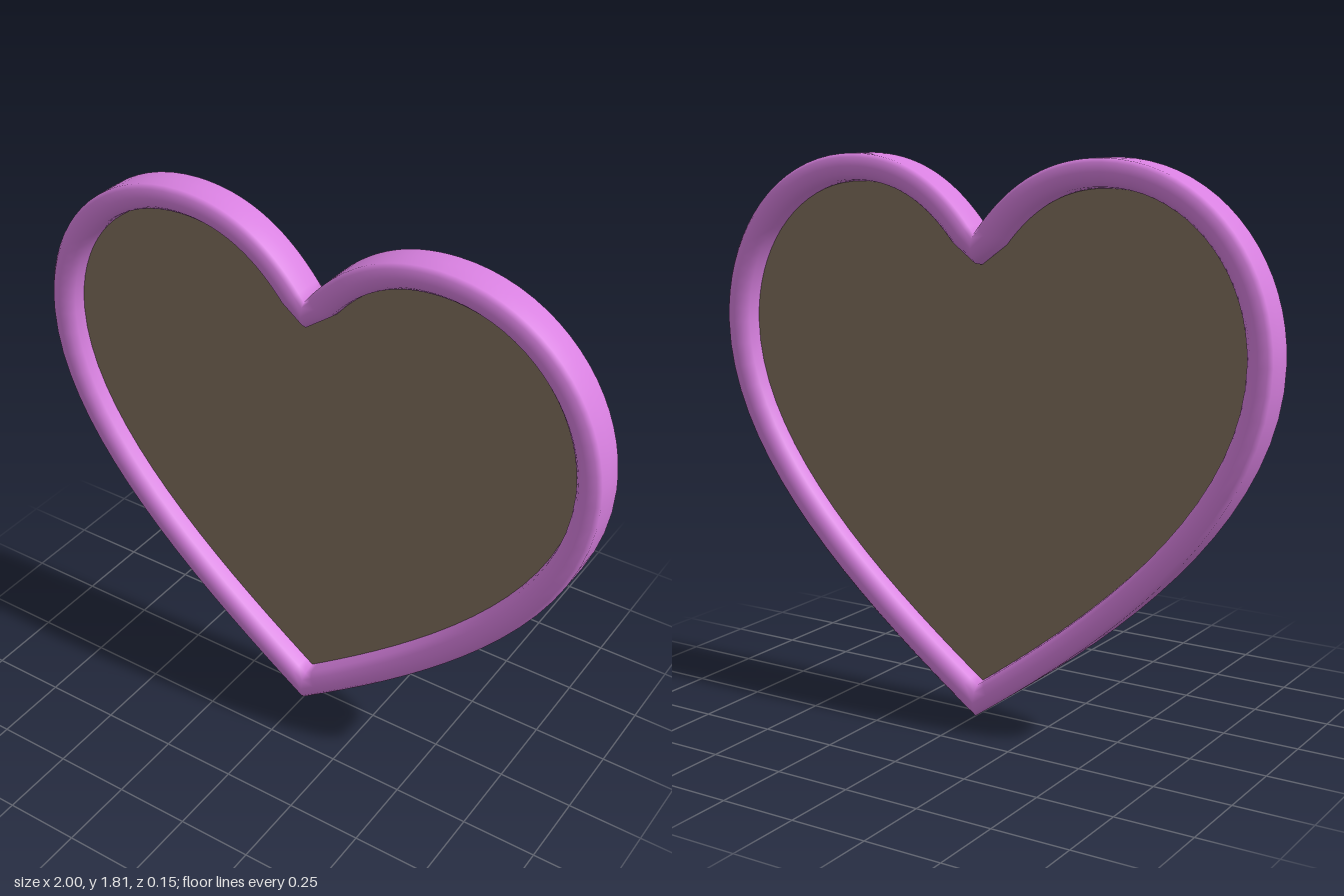
import * as THREE from 'three';

// Outer heart outline, clockwise from the notch; the left half mirrors the right
function heartOutline() {
  const path = new THREE.Path();
  path.moveTo(0, 1.575);
  path.bezierCurveTo(0.11, 1.72, 0.25, 1.815, 0.45, 1.815);
  path.bezierCurveTo(0.76, 1.815, 0.998, 1.56, 0.998, 1.24);
  path.bezierCurveTo(0.998, 0.75, 0.45, 0.32, 0, 0.005);
  const right = path.getPoints(18);
  const left = right.slice(1, -1).reverse().map(p => new THREE.Vector2(-p.x, p.y));
  return [...right, ...left];
}

// Inward direction at every outline point, lengthened a little at the corners
function inwardDirections(points) {
  const n = points.length;
  return points.map((p, i) => {
    const a = p.clone().sub(points[(i + n - 1) % n]).normalize();
    const b = points[(i + 1) % n].clone().sub(p).normalize();
    const t = a.clone().add(b).normalize();
    const miter = Math.min(1 / t.dot(a), p.y > 1 ? 1.08 : 1.25);
    return new THREE.Vector2(t.y, -t.x).multiplyScalar(miter);
  });
}

// Rim cross-section: [distance inward, z], from the outer back edge round the front
const SECTION = [
  [0, -0.05], [0, 0], [0, 0.05], [0.012, 0.063], [0.04, 0.069], [0.068, 0.06],
  [0.084, 0.04], [0.09, 0], [0.084, -0.04], [0.068, -0.06], [0.04, -0.069], [0.012, -0.063],
];

function rimGeometry(points, inward) {
  const n = points.length, m = SECTION.length;
  const positions = [], index = [];
  points.forEach((p, i) => {
    for (const [d, z] of SECTION) {
      // the frame leans back very slightly
      positions.push(p.x + inward[i].x * d, p.y + inward[i].y * d, z + 0.005 - 0.006 * p.y);
    }
    for (let j = 0; j < m; j++) {
      const k = (j + 1) % m, next = (i + 1) % n;
      const a = i * m + j, b = next * m + j, c = next * m + k, e = i * m + k;
      index.push(a, e, c, a, c, b);
    }
  });
  const geometry = new THREE.BufferGeometry();
  geometry.setAttribute('position', new THREE.Float32BufferAttribute(positions, 3));
  geometry.setIndex(index);
  geometry.computeVertexNormals();
  return geometry;
}

export function createModel() {
  const pink = new THREE.MeshStandardMaterial({ color: 0xd880e0 });
  pink.name = 'orchid pink';
  const brown = new THREE.MeshStandardMaterial({ color: 0x83725f, side: THREE.DoubleSide });
  brown.name = 'dull brown';

  const group = new THREE.Group();
  group.name = 'heartFrame';
  const outline = heartOutline();
  const inward = inwardDirections(outline);

  // Rounded rim
  const rim = new THREE.Mesh(rimGeometry(outline, inward), pink);
  rim.name = 'rim';
  group.add(rim);

  // Flat panel, its edge hidden inside the rim
  const edge = outline.map((p, i) => p.clone().addScaledVector(inward[i], 0.045));
  const panel = new THREE.Mesh(new THREE.ShapeGeometry(new THREE.Shape(edge)), brown);
  panel.name = 'panel';
  group.add(panel);

  return group;
}
